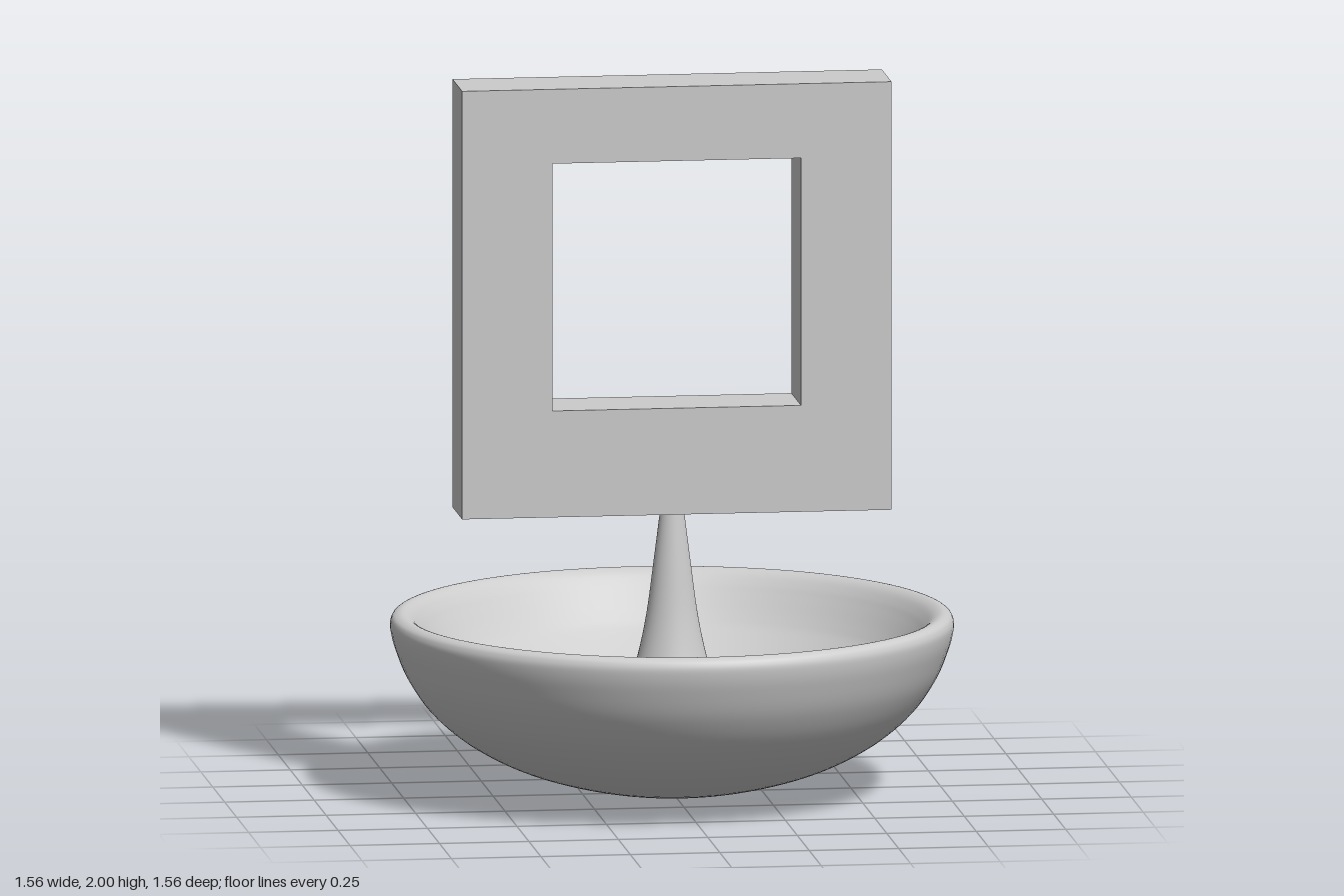
import * as THREE from 'three';

export function createModel() {
  const model = new THREE.Group();
  const grey = new THREE.MeshStandardMaterial({ color: 0xcccccc });
  grey.name = 'light grey';

  const add = (name, geometry) => {
    const mesh = new THREE.Mesh(geometry, grey);
    mesh.name = name;
    model.add(mesh);
  };

  // Smooth lathe through [radius, height] points
  const turned = (points, steps, sides) => {
    const curve = new THREE.SplineCurve(points.map(([r, y]) => new THREE.Vector2(r, y)));
    const profile = curve.getPoints(steps);
    profile.forEach((p) => { p.x = Math.max(0, p.x); });
    return new THREE.LatheGeometry(profile, sides);
  };

  // Bowl: outer shell, softly rounded rim, sloping hollow
  add('bowl', turned([
    [0, 0], [0.2, 0.016], [0.4, 0.067], [0.55, 0.138], [0.66, 0.225], [0.73, 0.32],
    [0.768, 0.41], [0.781, 0.465], [0.777, 0.491], [0.764, 0.503], [0.745, 0.506],
    [0.722, 0.495], [0.7, 0.471], [0.68, 0.443], [0.64, 0.389], [0.6, 0.347], [0.5, 0.27],
    [0.4, 0.218], [0.22, 0.162], [0, 0.14],
  ], 114, 96));

  // Flared stem, slightly flattened front to back, with a rounded foot
  const stem = turned([
    [0.12, 0.1], [0.138, 0.14], [0.149, 0.175], [0.152, 0.21], [0.139, 0.25],
    [0.115, 0.32], [0.092, 0.4], [0.07, 0.51], [0.05, 0.66], [0.031, 0.81],
  ], 54, 48);
  stem.scale(1, 1, 0.88);
  add('stem', stem);

  // Square frame with a square opening
  const rect = (Type, x, y0, y1) => new Type([
    new THREE.Vector2(-x, y0), new THREE.Vector2(x, y0),
    new THREE.Vector2(x, y1), new THREE.Vector2(-x, y1),
  ]);
  const outline = rect(THREE.Shape, 0.6, 0.797, 2);
  outline.holes.push(rect(THREE.Path, 0.347, 1.096, 1.791));
  const frame = new THREE.ExtrudeGeometry(outline, { depth: 0.202, bevelEnabled: false });
  frame.translate(0, 0, -0.101);
  add('frame', frame);

  return model;
}
